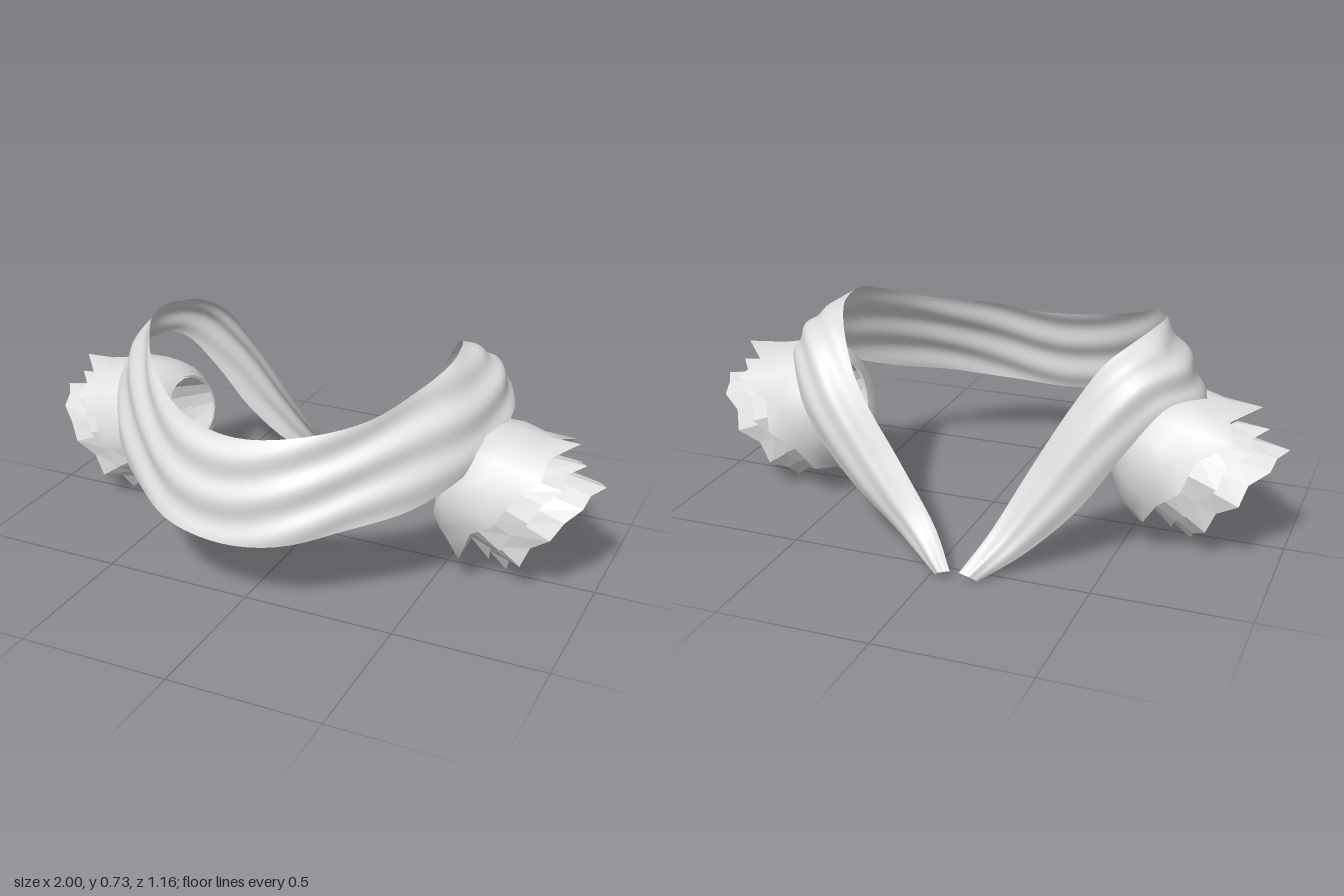
import * as THREE from 'three';

const cloth = new THREE.MeshStandardMaterial({ color: 0xdddddd, side: THREE.DoubleSide });
cloth.name = 'pale cloth';

// Surface through rows of points; closed rows wrap round, faceted splits the corners
function skin(name, rows, closed = false, faceted = false) {
  const n = rows[0].length, index = [];
  for (let i = 0; i < rows.length - 1; i++) {
    for (let j = 0; j < (closed ? n : n - 1); j++) {
      const k = (j + 1) % n;
      const a = i * n + j, b = i * n + k, c = a + n, d = b + n;
      index.push(a, c, b, b, c, d);
    }
  }
  let geo = new THREE.BufferGeometry().setFromPoints(rows.flat());
  geo.setIndex(index);
  if (faceted) geo = geo.toNonIndexed();
  geo.computeVertexNormals();
  const mesh = new THREE.Mesh(geo, cloth);
  mesh.name = name;
  return mesh;
}

// Upper and lower edges of one half of the sash, from the front centre to the back tip
const UPPER = [
  [0, 0.56, 0.49], [0.2, 0.587, 0.45], [0.37, 0.65, 0.32], [0.47, 0.715, 0.17],
  [0.53, 0.735, 0.03], [0.52, 0.735, -0.11], [0.49, 0.72, -0.2], [0.43, 0.665, -0.28],
  [0.34, 0.52, -0.34], [0.2, 0.3, -0.39], [0.09, 0.13, -0.46], [0.015, 0.04, -0.57],
];
const LOWER = [
  [0, 0.24, 0.578], [0.19, 0.26, 0.555], [0.36, 0.305, 0.46], [0.53, 0.35, 0.315],
  [0.64, 0.42, 0.14], [0.69, 0.5, -0.03], [0.69, 0.54, -0.14], [0.625, 0.545, -0.27],
  [0.53, 0.42, -0.36], [0.38, 0.23, -0.41], [0.21, 0.085, -0.46], [0.07, 0.012, -0.555],
];

// Whole edge from right tip to left tip; the left shoulder hangs lower by dip,
// and the left tail hangs a little further back than the right
function edgeCurve(half, dip) {
  const bump = (i, mid, spread) => Math.exp(-(((i - mid) / spread) ** 2));
  const at = (p, i, side) => new THREE.Vector3(
    side * p[0] - 0.035 - 0.05 * (i / 11) ** 4 + 0.025 * bump(i, 8, 1.3),
    p[1] - (side > 0 ? dip * bump(i, 2.6, 1.1) : 0),
    p[2] - side * 0.028 * bump(i, 8.3, 1.3),
  );
  const right = half.map((p, i) => at(p, i, -1)).reverse();
  const left = half.slice(1).map((p, i) => at(p, i + 1, 1));
  return new THREE.CatmullRomCurve3([...right, ...left]);
}

// Long pleated strip draped round both sides, flat in front and rounder behind
function makeSash() {
  const upper = edgeCurve(UPPER, 0.045), lower = edgeCurve(LOWER, 0);
  const middle = (t) => upper.getPoint(t).lerp(lower.getPoint(t), 0.5);
  const rows = [], steps = 96, across = 24;
  for (let i = 0; i <= steps; i++) {
    const t = i / steps, back = Math.abs(t * 2 - 1);
    const a = upper.getPoint(t), b = lower.getPoint(t);
    const tangent = middle(Math.min(1, t + 0.01)).sub(middle(Math.max(0, t - 0.01)));
    const width = a.distanceTo(b) / 0.33;
    const out = b.clone().sub(a).cross(tangent).normalize();
    const depth = 0.008 + 0.062 * THREE.MathUtils.smoothstep(back, 0.1, 0.8);
    const row = [];
    for (let j = 0; j <= across; j++) {
      const v = j / across;
      const bulge = depth * Math.sin(Math.PI * v);
      const pleat = 0.007 * Math.sin(v * Math.PI * 5 + 1.8 * Math.sin(t * 23));
      row.push(a.clone().lerp(b, v).addScaledVector(out, (bulge + pleat) * width));
    }
    rows.push(row);
  }
  return skin('sash', rows);
}

// Tilted oval ring from its lowest and highest points;
// jag makes a ragged edge, yaw turns the ring towards the front
function ring(side, [bx, by, tx, ty, rz, jag = 0, yaw = 0], n, seed) {
  const pts = [];
  for (let j = 0; j < n; j++) {
    const a = (j / n) * Math.PI * 2;
    const wave = (j % 2 ? -1 : 0.6) + 0.5 * Math.sin(j * 2.3 + seed);
    const s = 1 + jag * wave;
    const c = (Math.cos(a) * s) / 2;
    pts.push(new THREE.Vector3(
      side * ((bx + tx) / 2 + (tx - bx) * c + jag * 0.18 * wave + yaw * Math.sin(a)),
      (by + ty) / 2 + (ty - by) * c - jag * 0.12 * wave,
      -0.035 - yaw + Math.sin(a) * rz * s,
    ));
  }
  return pts;
}

// Puffed sleeve with a ragged hem over two tiers of faceted frill
function makeSleeve(side) {
  const sleeve = new THREE.Group();
  sleeve.name = side > 0 ? 'leftSleeve' : 'rightSleeve';
  const layer = (name, rings, n, faceted, seed) => sleeve.add(
    skin(name, rings.map((r) => ring(side, r, n, seed)), true, faceted));

  const hem = [0.53, 0.07, 0.875, 0.495, 0.235, 0.085];
  layer('puff', [
    [0.46, 0.26, 0.52, 0.475, 0.115, 0, 0.02],
    [0.45, 0.23, 0.565, 0.51, 0.16, 0, 0.01],
    [0.457, 0.19, 0.625, 0.525, 0.2],
    [0.475, 0.14, 0.71, 0.522, 0.22],
    [0.5, 0.105, 0.79, 0.505, 0.225, 0.03],
    hem,
  ], 16, false, 1);
  // hem folded back under the puff
  layer('hemLining', [hem, [0.57, 0.12, 0.81, 0.45, 0.18, 0.03]], 16, true, 1);
  layer('upperFrill', [
    [0.5, 0.2, 0.66, 0.46, 0.14],
    [0.57, 0.13, 0.8, 0.44, 0.16, 0.02],
    [0.64, 0.07, 0.915, 0.43, 0.17, 0.05],
  ], 18, true, 2);
  layer('lowerFrill', [
    [0.465, 0.26, 0.525, 0.465, 0.11, 0, 0.02],
    [0.56, 0.15, 0.77, 0.42, 0.14, 0, 0.01],
    [0.64, 0.085, 0.88, 0.39, 0.15, 0.02],
    [0.7, 0.035, 0.985, 0.37, 0.155, 0.05],
  ], 18, true, 0.5);
  return sleeve;
}

export function createModel() {
  const model = new THREE.Group();
  model.name = 'sashWithSleeves';
  model.add(makeSash(), makeSleeve(1), makeSleeve(-1));
  return model;
}
